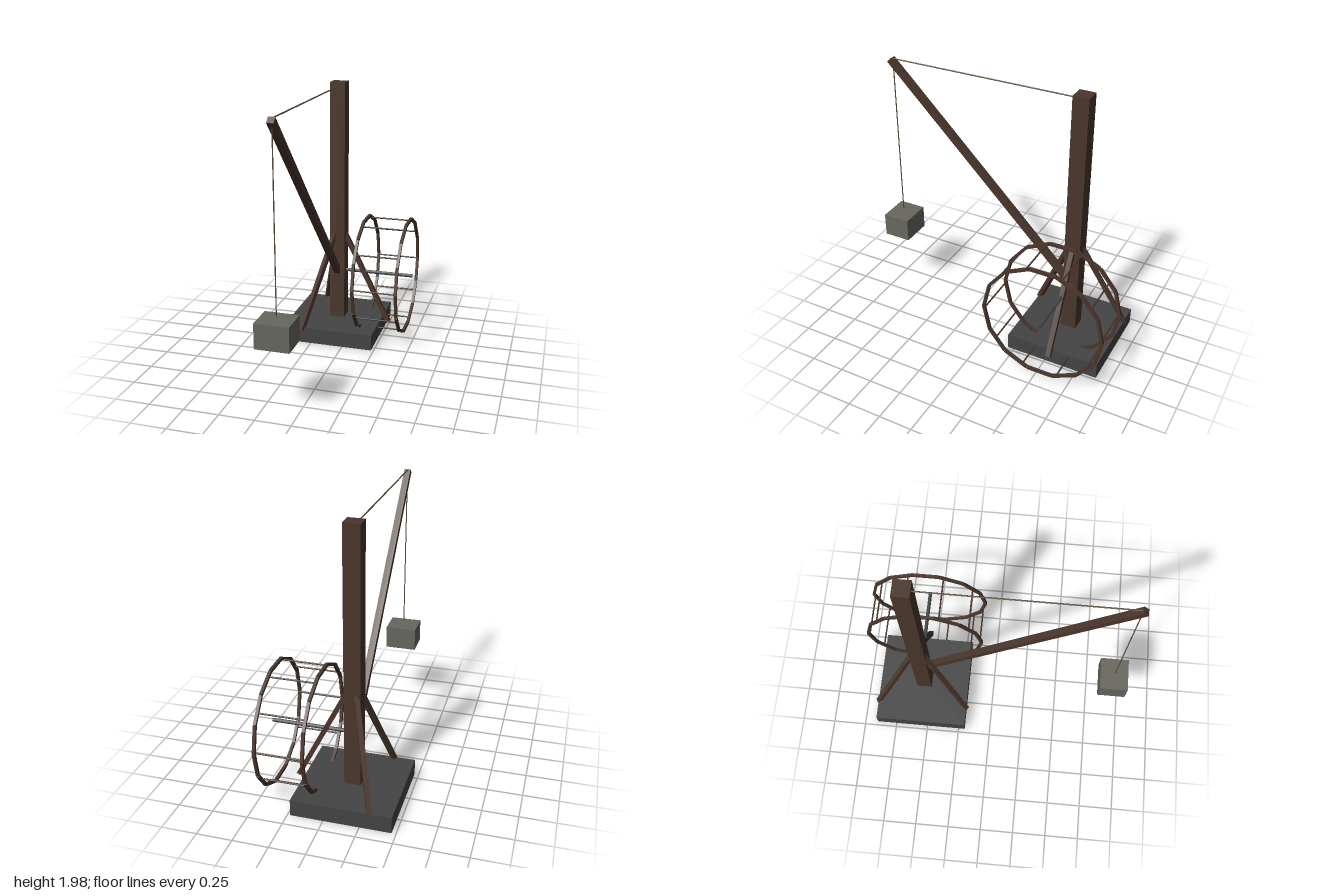
import * as THREE from 'three';

const material = (name, color) => {
  const m = new THREE.MeshStandardMaterial({ color });
  m.name = name;
  return m;
};

export function createModel() {
  const wood = material('dark wood', 0x4a362c);
  const slab = material('dark stone', 0x444444);
  const stone = material('grey stone', 0x67675f);
  const iron = material('iron', 0x44484b);
  const rope = material('rope', 0x5f4e3c);

  const model = new THREE.Group();
  model.name = 'treadwheelCrane';
  const V = (x, y, z) => new THREE.Vector3(x, y, z);

  const add = (name, geometry, mat, position, parent = model) => {
    const mesh = new THREE.Mesh(geometry, mat);
    mesh.name = name;
    mesh.position.copy(position);
    parent.add(mesh);
    return mesh;
  };
  // Square beam between two points
  const beam = (name, a, b, size, mat) => {
    const mesh = add(name, new THREE.BoxGeometry(size, size, a.distanceTo(b)), mat, a.clone().lerp(b, 0.5));
    mesh.lookAt(b);
    return mesh;
  };
  // Round rod between two points
  const rod = (name, a, b, radius, mat, parent = model) => {
    const geometry = new THREE.CylinderGeometry(radius, radius, a.distanceTo(b), 8);
    const mesh = add(name, geometry, mat, a.clone().lerp(b, 0.5), parent);
    mesh.quaternion.setFromUnitVectors(V(0, 1, 0), b.clone().sub(a).normalize());
    return mesh;
  };

  const cx = -0.12, cz = -0.55;

  // Base and mast
  add('base', new THREE.BoxGeometry(0.7, 0.12, 0.7), slab, V(cx, 0.06, cz));
  add('mast', new THREE.BoxGeometry(0.116, 1.86, 0.116), wood, V(cx, 1.047, cz));

  // Three braces spread evenly around the mast
  for (let i = 0; i < 3; i++) {
    const a = (i * Math.PI * 2) / 3;
    const foot = V(cx + 0.405 * Math.cos(a), 0.1, cz + 0.405 * Math.sin(a));
    beam('brace', foot, V(cx, 0.9, cz), 0.034, wood);
  }

  // Boom, its stay rope, and the hanging load
  beam('boom', V(cx, 0.46, cz), V(cx, 1.938, 0.918), 0.046, wood);
  rod('stayRope', V(cx, 1.945, cz), V(cx, 1.945, 0.9), 0.005, rope);
  rod('hoistRope', V(cx, 1.93, 0.9), V(cx, 0.705, 0.9), 0.004, rope);
  add('load', new THREE.BoxGeometry(0.235, 0.175, 0.205), stone, V(cx, 0.592, 0.897));

  // Axle
  const hubY = 0.504;
  rod('axle', V(cx, hubY, cz), V(0.467, hubY, cz), 0.0135, iron);

  // Treadwheel: two segmented rims joined by rungs
  const wheel = new THREE.Group();
  wheel.name = 'treadwheel';
  wheel.position.set(0, hubY, cz);
  model.add(wheel);
  const sides = 14, rimRadius = 0.43;
  const segment = new THREE.BoxGeometry(0.021, 0.021, 0.194);
  for (const x of [0.1, 0.427]) {
    for (let i = 0; i < sides; i++) {
      const a = (i * Math.PI * 2) / sides;
      const p = V(x, rimRadius * Math.cos(a), rimRadius * Math.sin(a));
      add('rimSegment', segment, wood, p, wheel).rotation.x = a;
    }
  }
  for (let i = 0; i < 10; i++) {
    const a = (i * Math.PI) / 5;
    const y = 0.426 * Math.sin(a), z = 0.426 * Math.cos(a);
    rod('rung', V(0.1, y, z), V(0.427, y, z), 0.006, wood, wheel);
  }

  return model;
}
